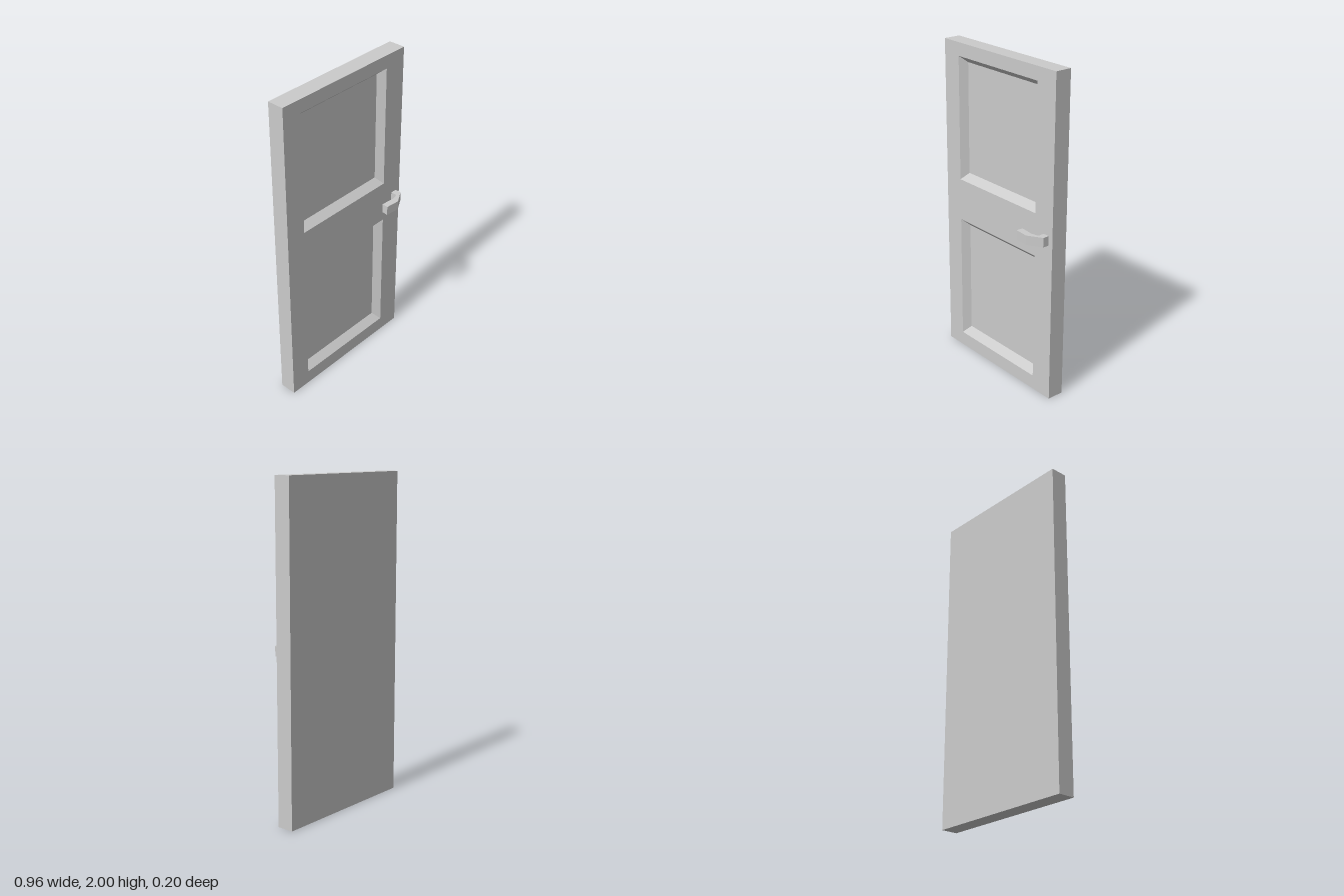
import * as THREE from 'three';

const FRONT = 0.004, BACK = -0.1, DEPTH = 0.045;

// Corners of an upright rectangle, counter-clockwise seen from the front
const rect = (x0, x1, y0, y1, z) =>
  [[x0, y0, z], [x1, y0, z], [x1, y1, z], [x0, y1, z]];

// Flat-shaded geometry from four-cornered faces
function quads(faces) {
  const pos = [];
  for (const [a, b, c, d] of faces) pos.push(...a, ...b, ...c, ...a, ...c, ...d);
  const geo = new THREE.BufferGeometry();
  geo.setAttribute('position', new THREE.Float32BufferAttribute(pos, 3));
  geo.computeVertexNormals();
  return geo;
}

// Four faces joining one rectangle to the next
const band = (a, b) => a.map((p, i) => {
  const j = (i + 1) % 4;
  return [p, a[j], b[j], b[i]];
});

const toPoints = (corners) => corners.map(([x, y]) => new THREE.Vector2(x, y));

export function createModel() {
  const group = new THREE.Group();
  const material = new THREE.MeshStandardMaterial({ color: 0xcccccc, flatShading: true });
  const add = (name, geo) => {
    const mesh = new THREE.Mesh(geo, material);
    mesh.name = name;
    group.add(mesh);
  };

  // Opening at the front and smaller floor of each sunken panel
  const panels = [
    { name: 'upperPanel',
      rim: rect(-0.351, 0.334, 1.154, 1.919, FRONT),
      floor: rect(-0.319, 0.301, 1.194, 1.881, FRONT - DEPTH) },
    { name: 'lowerPanel',
      rim: rect(-0.351, 0.334, 0.09, 0.889, FRONT),
      floor: rect(-0.316, 0.297, 0.133, 0.849, FRONT - DEPTH) },
  ];

  // Door front with the two openings
  const outer = rect(-0.48, 0.48, 0, 2, FRONT);
  const face = new THREE.Shape(toPoints(outer));
  for (const { rim } of panels) face.holes.push(new THREE.Path(toPoints(rim)));
  add('doorFront', new THREE.ShapeGeometry(face).translate(0, 0, FRONT));

  // Door edges and plain back
  const back = rect(-0.48, 0.48, 0, 2, BACK);
  add('doorBody', quads([...band(back, outer), [...back].reverse()]));

  // Sloped panel borders and floors
  for (const { name, rim, floor } of panels) add(name, quads([...band(rim, floor), floor]));

  // Bent lever handle, drawn in plan and extruded downwards
  const lever = new THREE.Shape(toPoints([
    [0.408, FRONT], [0.449, FRONT], [0.449, 0.044], [0.362, 0.096],
    [0.272, 0.088], [0.276, 0.047], [0.363, 0.056], [0.408, 0.045],
  ]));
  const handle = new THREE.ExtrudeGeometry(lever, { depth: 0.058, bevelEnabled: false });
  handle.rotateX(Math.PI / 2).translate(0, 1.053, 0);
  add('handle', handle);

  return group;
}
